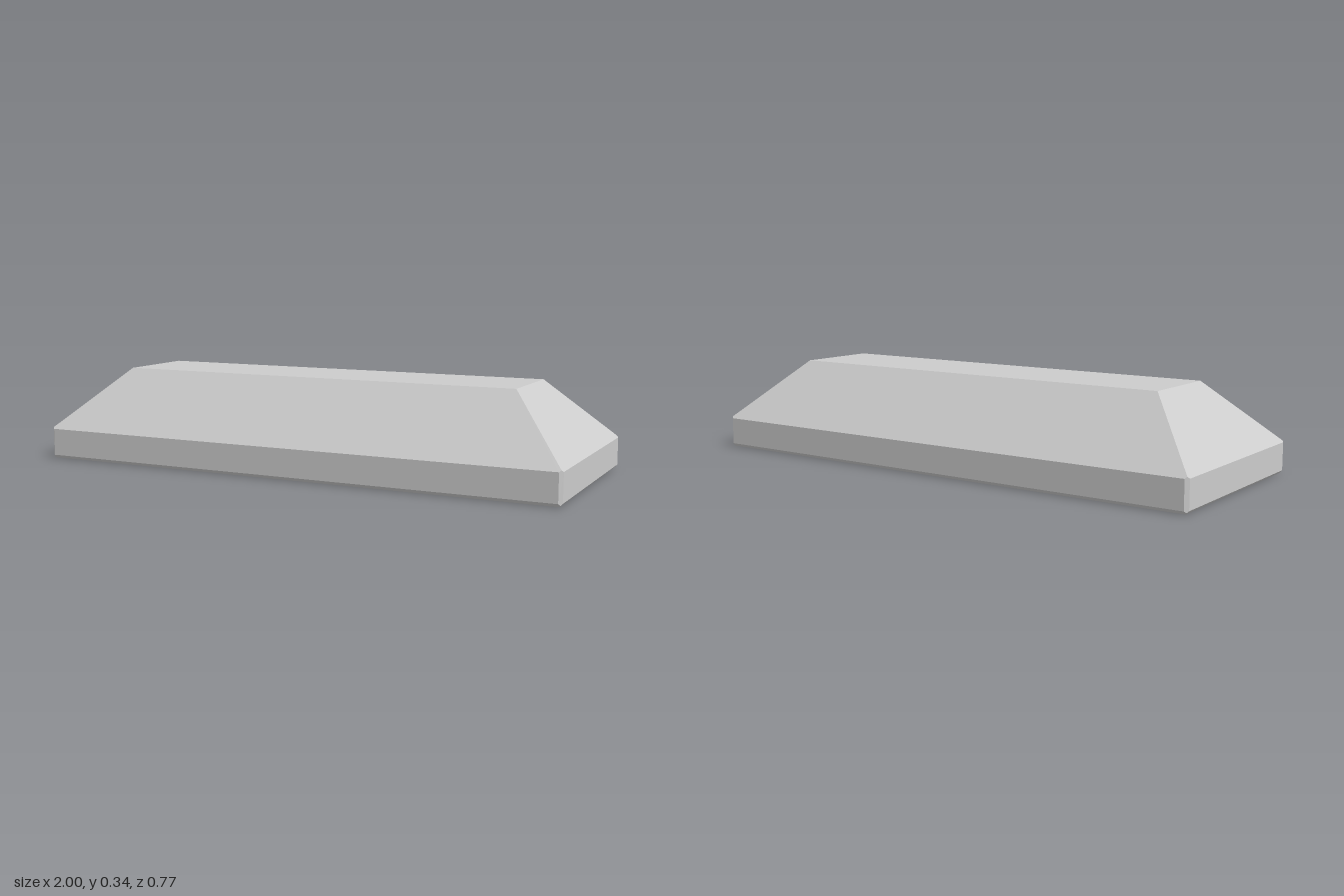
import * as THREE from 'three';
import { ConvexGeometry } from 'three/addons/geometries/ConvexGeometry.js';

const HALF_X = 1, HALF_Z = 0.385;   // footprint half sizes
const WALL = 0.113, TOP = 0.338;    // top of the straight wall, top of the block
const C = 0.012;                    // small edge chamfer
const SLOPE = TOP - WALL;           // large 45 degree bevel

// One corner, as [inset from side, height, inset from front]
const corner = [
  [C, 0, C],                        // bottom face
  [C / 2, C / 2, C / 2],            // lower tip, where three chamfers meet
  [0, C, C], [C, C, 0],             // foot of the walls
  [0, WALL, C], [C, WALL, 0],       // head of the walls
  [C / 2, WALL + C / 2, C / 2],     // upper tip, where the slopes meet
  [SLOPE, TOP, SLOPE],              // top face
];

export function createModel() {
  const group = new THREE.Group();
  group.name = 'bevelledBlock';

  // Mirror the corner into all four quadrants and wrap it in flat faces
  const points = [];
  for (const sx of [-1, 1]) {
    for (const sz of [-1, 1]) {
      for (const [dx, y, dz] of corner) {
        points.push(new THREE.Vector3(sx * (HALF_X - dx), y, sz * (HALF_Z - dz)));
      }
    }
  }
  const material = new THREE.MeshStandardMaterial({ color: 0xcccccc, flatShading: true });
  const block = new THREE.Mesh(new ConvexGeometry(points), material);
  block.name = 'block';
  group.add(block);
  return group;
}
